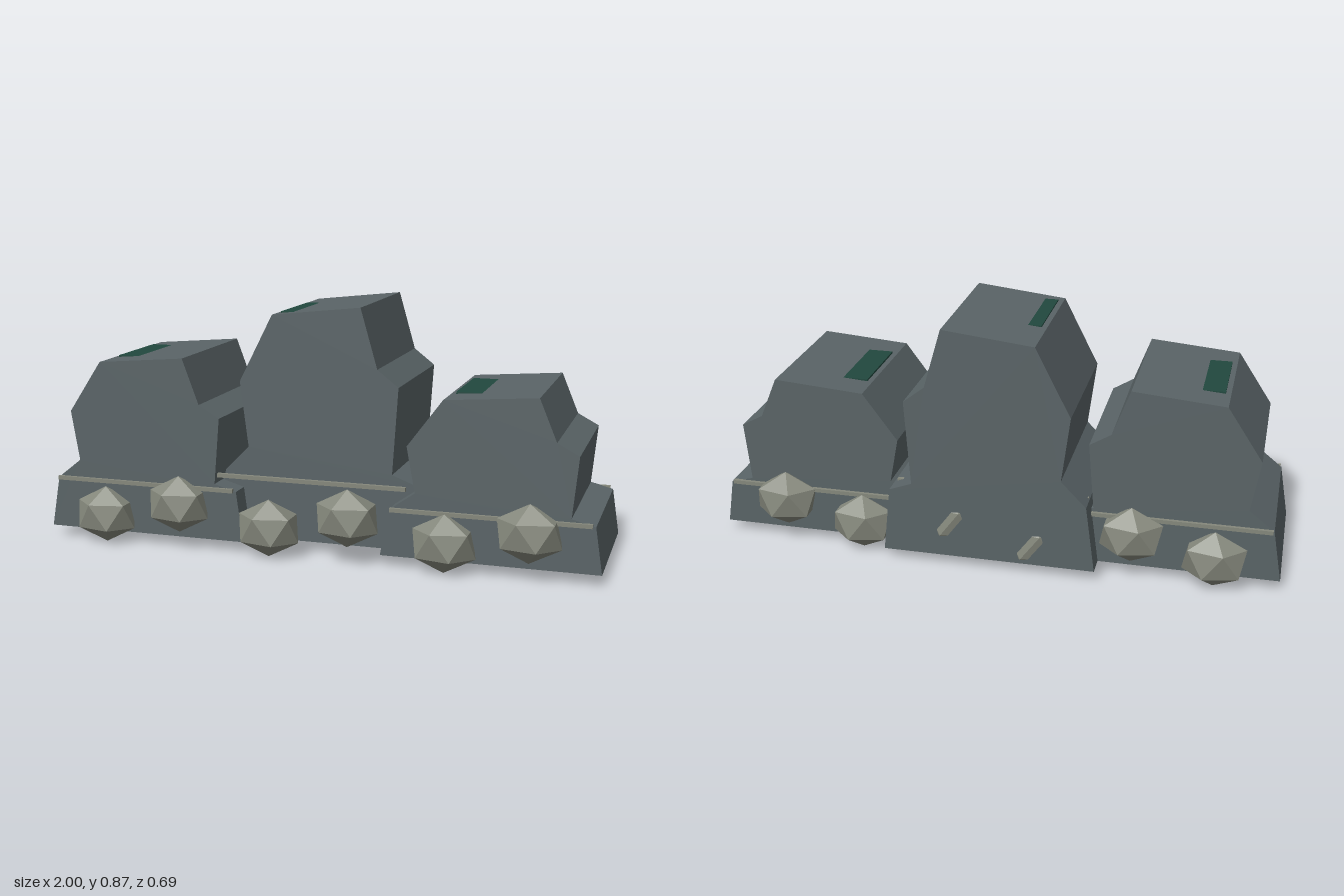
import * as THREE from 'three';

const rockMat = new THREE.MeshStandardMaterial({ color: 0x5a6467 });
rockMat.name = 'slate rock';
const boulderMat = new THREE.MeshStandardMaterial({ color: 0x85887c });
boulderMat.name = 'pale stone';
const mossMat = new THREE.MeshStandardMaterial({ color: 0x21483e });
mossMat.name = 'dark moss';
boulderMat.flatShading = true;

const BASE = 0.04;
const DEPTH = 0.522;

// Crag outline: x from its centre, y as a fraction of its height
const OUTLINE = [
  [-0.375, 0], [0.375, 0], [0.35, 0.28], [0.27, 0.316], [0.29, 0.68], [0.215, 0.75],
  [0.155, 1], [-0.163, 0.958], [-0.285, 0.672], [-0.255, 0.394], [-0.343, 0.286],
];

function add(group, name, geometry, material, x, y, z) {
  const mesh = new THREE.Mesh(geometry, material);
  mesh.name = name;
  mesh.position.set(x, y, z);
  group.add(mesh);
  return mesh;
}

// Five-sided boulder: an icosahedron standing on a corner, squashed front to back
function boulderGeometry() {
  const geometry = new THREE.IcosahedronGeometry(1, 0);
  const t = (1 + Math.sqrt(5)) / 2;
  // turn the corner (1, t, 0) to the top; one upper ring corner then lies along x
  geometry.rotateZ(Math.atan2(1, t));
  geometry.scale(0.122, 0.102, 0.086);
  return geometry;
}

function makeCrag(height, zShift, plateTop, boulderGeo) {
  const crag = new THREE.Group();

  // Main mass
  const shape = new THREE.Shape(OUTLINE.map(([x, y]) => new THREE.Vector2(x, y * height)));
  const body = new THREE.ExtrudeGeometry(shape, { depth: DEPTH, bevelEnabled: false });
  add(crag, 'rockBody', body, rockMat, 0, BASE, zShift - DEPTH / 2);

  // Moss patch, sinking into the sloping top
  add(crag, 'mossPatch', new THREE.BoxGeometry(0.17, 0.009, 0.29), mossMat,
    -0.06, plateTop - 0.0045, -0.003);

  for (const side of [1, -1]) {
    // Ledge strip
    add(crag, 'ledgeStrip', new THREE.BoxGeometry(0.68, 0.014, 0.014), boulderMat,
      0, BASE + height * 0.286, side * 0.266);
    // Boulders at the foot
    for (const [x, y] of [[-0.15, 0.104], [0.136, 0.163]]) {
      add(crag, 'boulder', boulderGeo, boulderMat, x, y, side * 0.272);
    }
  }
  return crag;
}

export function createModel() {
  const model = new THREE.Group();
  model.name = 'rockRidge';
  const boulderGeo = boulderGeometry();

  const crags = [
    ['rightCrag', -0.625, 0.645, 0, 0.666],
    ['middleCrag', 0, 0.836, -0.078, 0.848],
    ['leftCrag', 0.625, 0.575, 0, 0.599],
  ];
  for (const [name, x, height, zShift, plateTop] of crags) {
    const crag = makeCrag(height, zShift, plateTop, boulderGeo);
    crag.name = name;
    crag.position.x = x;
    model.add(crag);
  }
  return model;
}
